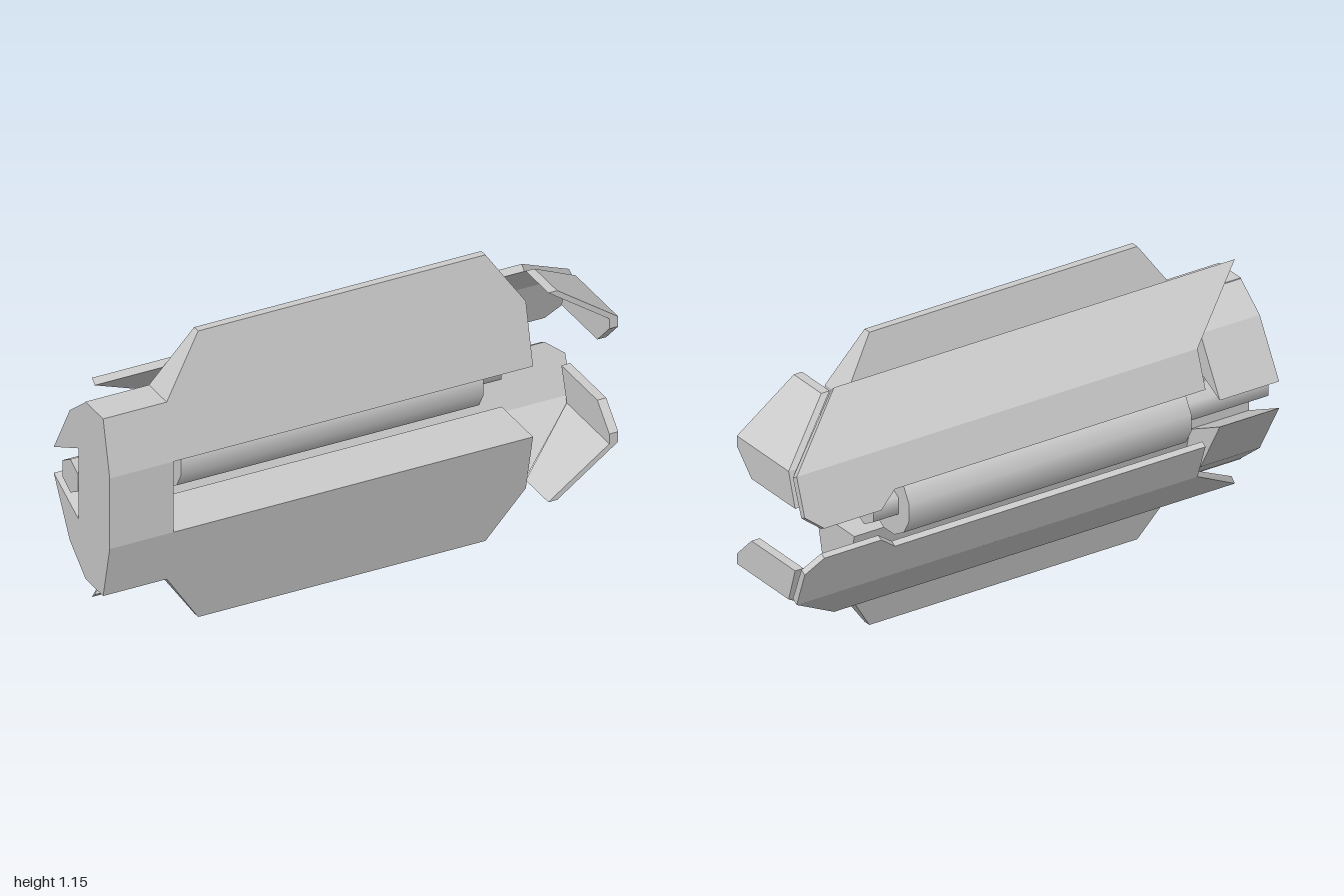
import * as THREE from 'three';

const MID = 0.5775; // height of the mirror plane between upper and lower halves
const grey = new THREE.MeshStandardMaterial({ color: 0xcccccc, side: THREE.DoubleSide });
const lerp = THREE.MathUtils.mapLinear;

// Extrude an outline by one unit, then let a rule place every vertex
function slab(points, rule) {
  const shape = new THREE.Shape(points.map(([a, b]) => new THREE.Vector2(a, b)));
  const geo = new THREE.ExtrudeGeometry(shape, { depth: 1, bevelEnabled: false });
  const p = geo.attributes.position;
  for (let i = 0; i < p.count; i++) p.setXYZ(i, ...rule(p.getX(i), p.getY(i), p.getZ(i)));
  geo.computeVertexNormals();
  return geo;
}

// Reflect in the mid plane and reverse the corner order of each triangle
function mirrored(geo) {
  const out = geo.clone();
  const src = geo.attributes.position, p = out.attributes.position;
  for (let i = 0; i < p.count; i++) {
    const j = i - (i % 3) + [0, 2, 1][i % 3];
    p.setXYZ(i, src.getX(j), 2 * MID - src.getY(j), src.getZ(j));
  }
  out.computeVertexNormals();
  return out;
}

export function createModel() {
  const model = new THREE.Group();
  const add = (name, geo) => {
    const mesh = new THREE.Mesh(geo, grey);
    mesh.name = name;
    model.add(mesh);
    return mesh;
  };
  const addPair = (name, geo) => {
    add('upper' + name, geo);
    add('lower' + name, mirrored(geo));
  };

  // Wedge-shaped jaws tapering to a thin outer edge
  addPair('Jaw', slab(
    [[-1, 0.72], [0.665, 0.72], [0.665, 0.955], [0.53, 1.155], [-0.6, 1.155], [-0.75, 0.935], [-1, 0.935]],
    (x, y, k) => {
      const back = lerp(y, 0.72, 1.155, -0.015, 0.09);
      const front = lerp(y, 0.72, 1.155, 0.22, 0.12);
      return [x, y, back + (front - back) * k];
    }));

  // Bridge joining the jaws
  const bridge = add('bridge', new THREE.BoxGeometry(0.25, 0.285, 0.235));
  bridge.position.set(-0.875, MID, 0.1025);

  // Arms reaching back from the bridge end; outline is (-z, y)
  addPair('Arm', slab(
    [[0.015, 0.72], [0.2, 0.63], [0.08, 0.84], [-0.04, 0.935]],
    (u, y, k) => [-1 + 0.25 * k, y, -u]));

  // Folded rear shields: a sloping facet and a steep facet with a hooked end
  addPair('ShieldSlope', slab(
    [[-0.69, 0.83], [1, 0.83], [0.72, 1.02], [-0.97, 1.02]],
    (x, y, k) => [x,
      y + k * lerp(y, 0.83, 1.02, -0.014, -0.02),
      lerp(y, 0.83, 1.02, -0.15, 0.03) + k * lerp(y, 0.83, 1.02, 0.024, 0.02)]));
  addPair('ShieldFlank', slab(
    [[-0.69, 0.69], [0.62, 0.69], [0.69, 0.636], [0.93, 0.636], [1, 0.69], [1, 0.83], [-0.69, 0.83]],
    (x, y, k) => [x,
      y + k * lerp(y, 0.636, 0.83, -0.01, -0.014),
      lerp(y, 0.636, 0.83, -0.219, -0.15) + k * lerp(y, 0.636, 0.83, 0.02, 0.024)]));

  // Bent end plates; outlines are (-z, y)
  const PLATE = 0.035;
  addPair('EndPlateSlope', slab(
    [[-0.22, 0.83], [0.1, 0.83], [-0.05, 1], [-0.22, 1]],
    (u, y, k) => [lerp(y, 0.83, 1, 1, 0.76) - PLATE * (1 - k), y, -u]));
  addPair('EndPlate', slab(
    [[-0.13, 0.7], [0.14, 0.7], [0.1, 0.83], [-0.22, 0.83], [-0.22, 0.79]],
    (u, y, k) => [1 - PLATE * (1 - k), y, -u]));

  // Roller on a six-sided axle
  const bar = (name, radius, sides, x0, x1, turn) => {
    const geo = new THREE.CylinderGeometry(radius, radius, x1 - x0, sides);
    geo.rotateY(turn).rotateZ(Math.PI / 2);
    add(name, geo).position.set((x0 + x1) / 2, MID, -0.075);
  };
  bar('roller', 0.129, 12, -0.63, 0.56, Math.PI / 12);
  bar('axle', 0.067, 6, -1, 0.665, Math.PI / 2);

  return model;
}
